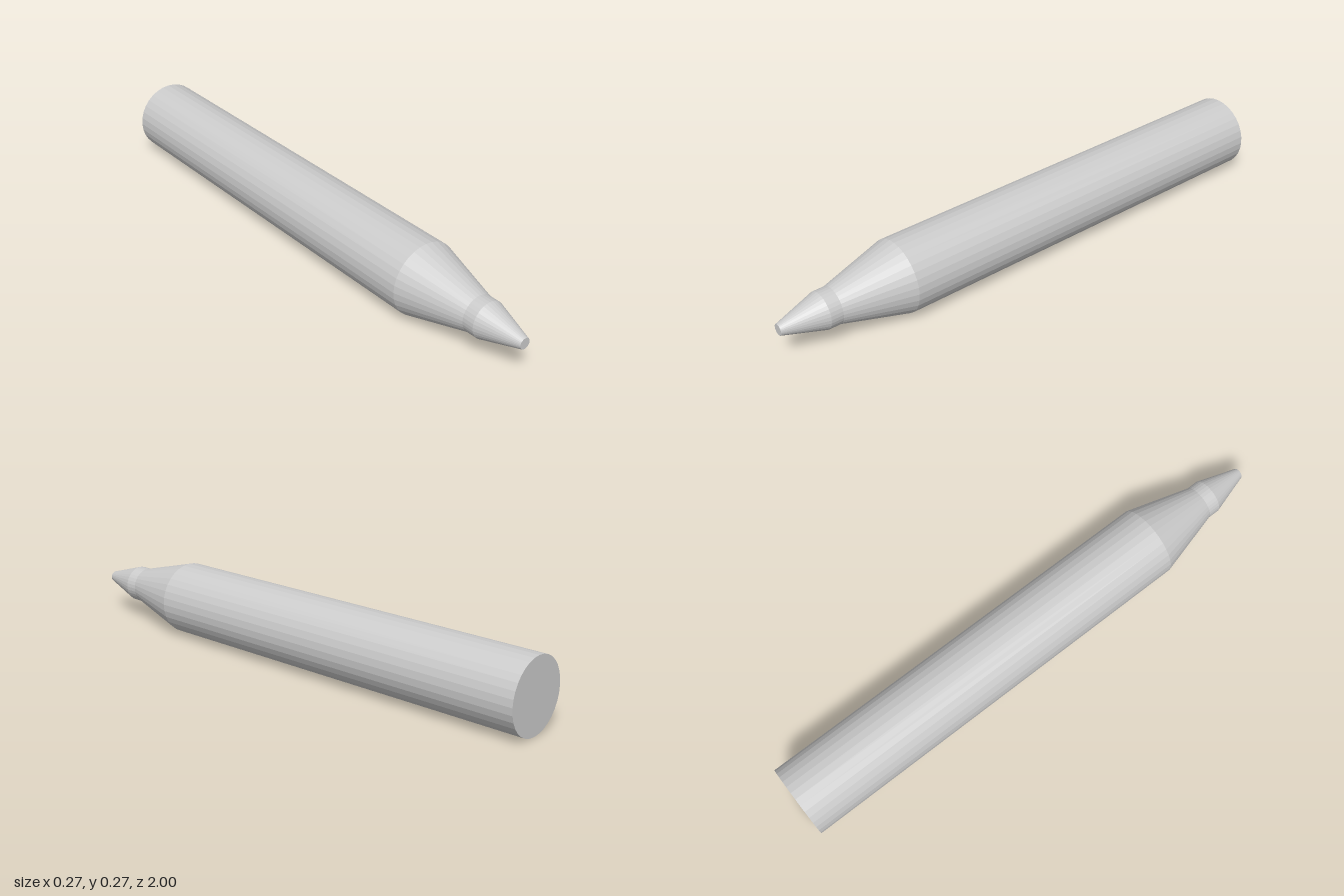
import * as THREE from 'three';

const SIDES = 32;
const RADIUS = 0.1335;

export function createModel() {
  const model = new THREE.Group();
  model.name = 'marker';
  const material = new THREE.MeshStandardMaterial({ color: 0xcccccc, flatShading: true });

  // Round section along z, from the back end to the front end
  function section(name, zBack, zFront, rBack, rFront) {
    const geometry = new THREE.CylinderGeometry(rFront, rBack, zFront - zBack, SIDES);
    geometry.rotateX(Math.PI / 2);
    const mesh = new THREE.Mesh(geometry, material);
    mesh.name = name;
    mesh.position.set(0, RADIUS, (zBack + zFront) / 2);
    model.add(mesh);
  }

  section('barrel', -1, 0.552, RADIUS, RADIUS);
  section('taperedGrip', 0.552, 0.8, RADIUS, 0.067);
  section('collar', 0.8, 0.845, 0.067, 0.067);
  section('tip', 0.845, 1, 0.067, 0.02);

  return model;
}
